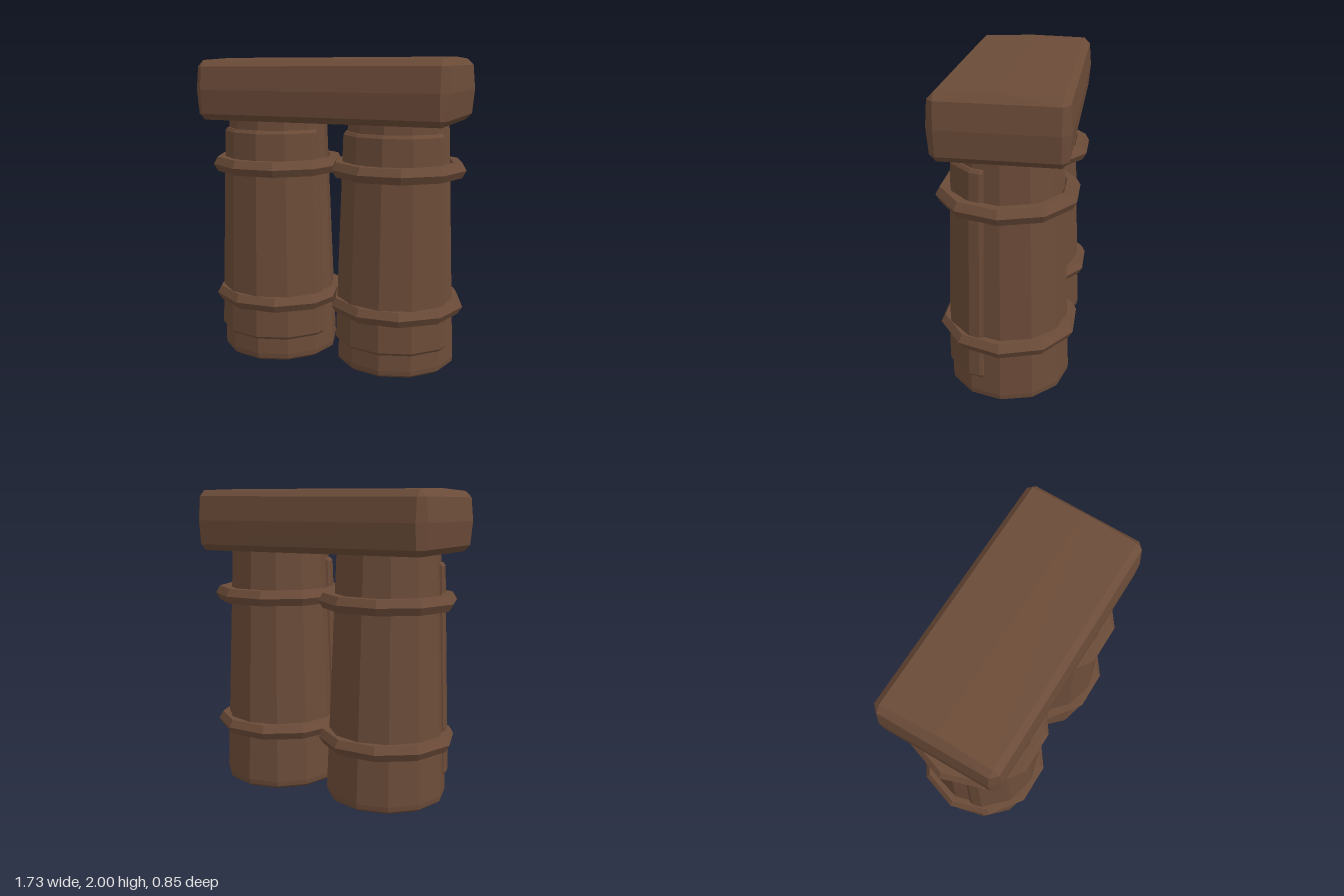
import * as THREE from 'three';
import { ConvexGeometry } from 'three/addons/geometries/ConvexGeometry.js';

const brown = new THREE.MeshStandardMaterial({ color: 0x6b4b38, flatShading: true });
brown.name = 'brown';

function part(name, geometry, parent) {
  const mesh = new THREE.Mesh(geometry, brown);
  mesh.name = name;
  parent.add(mesh);
  return mesh;
}

// Solid sector lofted through [y, radius] levels, following the 12-sided leg
function sectorGeometry(levels, angles) {
  const pos = [], idx = [], n = angles.length + 1, step = Math.PI / 6;
  for (const [y, r] of levels) {
    pos.push(0, y, 0);
    angles.forEach((deg, i) => {
      const a = THREE.MathUtils.degToRad(deg);
      const local = ((a % step) + step) % step;
      const onFacet = r * Math.cos(step / 2) / Math.cos(local - step / 2);
      const end = i === 0 || i === angles.length - 1;
      const q = end ? onFacet - 0.012 : onFacet;
      pos.push(q * Math.sin(a), y, q * Math.cos(a));
    });
  }
  for (let l = 0; l < levels.length - 1; l++) {
    for (let i = 0; i < n; i++) {
      const a = l * n + i, b = l * n + (i + 1) % n;
      idx.push(a, b, b + n, a, b + n, a + n);
    }
  }
  const top = (levels.length - 1) * n;
  for (let i = 1; i < n - 1; i++) {
    idx.push(0, i + 1, i);
    idx.push(top, top + i, top + i + 1);
  }
  const g = new THREE.BufferGeometry();
  g.setAttribute('position', new THREE.Float32BufferAttribute(pos, 3));
  g.setIndex(idx);
  g.computeVertexNormals();
  return g;
}

// Chamfered slab with gently swollen faces and slightly uneven ends
function lintelGeometry() {
  const pts = [], b = 0.04;
  const add = (x, y, z) => pts.push(new THREE.Vector3(x, y, z));
  for (const sx of [-1, 1]) {
    for (const sz of [-1, 1]) {
      const X = (sx < 0 ? 0.83 : 0.82) - sz * 0.006;
      const Z = 0.392;
      for (const sy of [-1, 1]) {
        const Y = sy > 0 ? (sx > 0 ? 1.987 : 1.978) : (sx > 0 ? 1.59 : 1.597);
        add(sx * (X - b), Y, sz * (Z - b));
        add(sx * X, Y - sy * b, sz * (Z - b));
        add(sx * (X - b), Y - sy * b, sz * Z);
      }
      // swelling at mid height
      add(sx * (X + 0.015), 1.79, sz * (Z - b));
      add(sx * (X - b), 1.79, sz * (Z + 0.013));
    }
    // ridge along the top
    add(sx * 0.78, sx > 0 ? 2.0 : 1.99, 0);
  }
  return new ConvexGeometry(pts);
}

function createLeg(side) {
  const leg = new THREE.Group();
  leg.name = side > 0 ? 'leftPillar' : 'rightPillar';
  leg.position.x = side * 0.42;

  // Tapered twelve-sided shaft with a bevelled foot
  const profile = [[0, 0], [0.365, 0], [0.388, 0.018], [0.392, 0.05], [0.33, 1.6], [0.328, 1.68], [0, 1.68]];
  part('shaft', new THREE.LatheGeometry(profile.map(p => new THREE.Vector2(...p)), 12), leg);

  // Raised panel wrapped around the front
  part('frontPanel', sectorGeometry(
    [[0.155, 0.395], [0.172, 0.408], [1.515, 0.36], [1.535, 0.345]],
    [-73, -70, -60, -30, 0, 30, 60, 70, 73]), leg);

  // Two bands of hexagonal section
  for (const [name, y] of [['lowerBand', 0.4], ['upperBand', 1.295]]) {
    const band = part(name, new THREE.TorusGeometry(0.391, 0.056, 6, 10), leg);
    band.rotation.x = Math.PI / 2;
    band.position.y = y;
  }
  return leg;
}

export function createModel() {
  const model = new THREE.Group();
  model.name = 'twinPillarArch';
  for (const side of [-1, 1]) model.add(createLeg(side));
  part('lintel', lintelGeometry(), model);
  return model;
}
